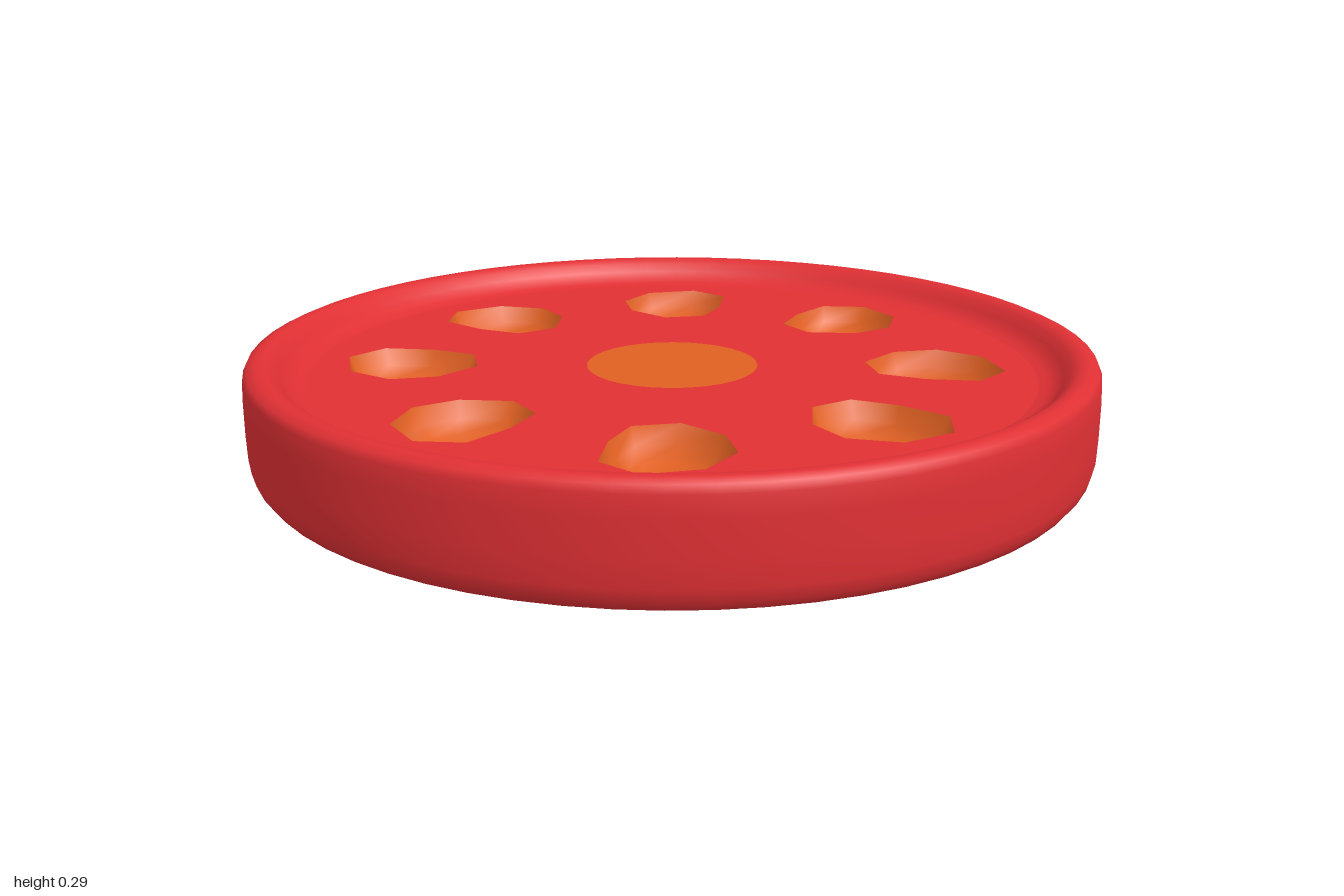
import * as THREE from 'three';

const FLOOR_Y = 0.23;
const FLOOR_R = 0.86;
const CORE_R = 0.205;
const red = new THREE.MeshStandardMaterial({ color: 0xe03034 });
const orange = new THREE.MeshStandardMaterial({ color: 0xe06022 });

// One pocket outline (x, -z); the rest are its mirror images
const POCKET = [
  [0.12, 0.66], [0.22, 0.73], [0.35, 0.71], [0.40, 0.61],
  [0.34, 0.50], [0.26, 0.42], [0.155, 0.44], [0.10, 0.55],
];

function pocketOutlines() {
  const outlines = [];
  for (const swap of [false, true])
    for (const sx of [1, -1])
      for (const sy of [1, -1]) {
        const pts = POCKET.map(([a, b]) =>
          new THREE.Vector2(sx * (swap ? b : a), sy * (swap ? a : b)));
        if (THREE.ShapeUtils.isClockWise(pts)) pts.reverse();
        outlines.push(pts);
      }
  return outlines;
}

// Rounded bowl: shrinking copies of the outline stepping down to a centre point
function bowlGeometry(outline) {
  const n = outline.length;
  const centre = outline.reduce((s, p) => s.add(p), new THREE.Vector2()).divideScalar(n);
  const steps = [[1, 0], [0.88, 0.04], [0.65, 0.065], [0.35, 0.08]];
  const position = [];
  const index = [];
  for (const [scale, depth] of steps)
    for (const p of outline) {
      const q = centre.clone().lerp(p, scale);
      position.push(q.x, FLOOR_Y - depth, -q.y);
    }
  position.push(centre.x, FLOOR_Y - 0.085, -centre.y);
  const last = steps.length - 1;
  for (let i = 0; i < n; i++) {
    const j = (i + 1) % n;
    for (let k = 0; k < last; k++) {
      const a = k * n + i, b = k * n + j, c = a + n, d = b + n;
      index.push(a, b, d, a, d, c);
    }
    index.push(last * n + i, last * n + j, steps.length * n);
  }
  const geo = new THREE.BufferGeometry();
  geo.setAttribute('position', new THREE.Float32BufferAttribute(position, 3));
  geo.setIndex(index);
  geo.computeVertexNormals();
  return geo;
}

export function createModel() {
  const group = new THREE.Group();
  const add = (name, geometry, material) => {
    const mesh = new THREE.Mesh(geometry, material);
    mesh.name = name;
    group.add(mesh);
  };

  // Underside, outer skin and rounded raised rim in one profile
  const profile = [
    [0, 0], [0.3, 0.002], [0.64, 0.007], [0.83, 0.014], [0.95, 0.024], [0.975, 0.03],
    [0.99, 0.05], [0.998, 0.08], [1, 0.14], [1, 0.22], [0.998, 0.265], [0.99, 0.282],
    [0.97, 0.291], [0.95, 0.29], [0.932, 0.28], [0.915, 0.26], [0.9, 0.243],
    [0.88, 0.234], [FLOOR_R, FLOOR_Y],
  ].map(([r, y]) => new THREE.Vector2(r, y));
  add('skin', new THREE.LatheGeometry(profile, 64), red);

  // Recessed top face with openings for the core and the pockets
  const outlines = pocketOutlines();
  const circle = (r, n) => Array.from({ length: n }, (_, i) => {
    const t = (i / n) * Math.PI * 2 + Math.PI / 2;
    return new THREE.Vector2(r * Math.cos(t), r * Math.sin(t));
  });
  const face = new THREE.Shape(circle(FLOOR_R, 64));
  face.holes.push(new THREE.Path(circle(CORE_R, 32)));
  for (const o of outlines) face.holes.push(new THREE.Path(o));
  const flat = (shape) => new THREE.ShapeGeometry(shape)
    .rotateX(-Math.PI / 2).translate(0, FLOOR_Y, 0);
  add('topFace', flat(face), red);

  // Flat round core
  add('core', flat(new THREE.Shape(circle(CORE_R, 32))), orange);

  // Eight sunken seed pockets
  outlines.forEach((o, i) => add(`seedPocket${i + 1}`, bowlGeometry(o), orange));
  return group;
}
